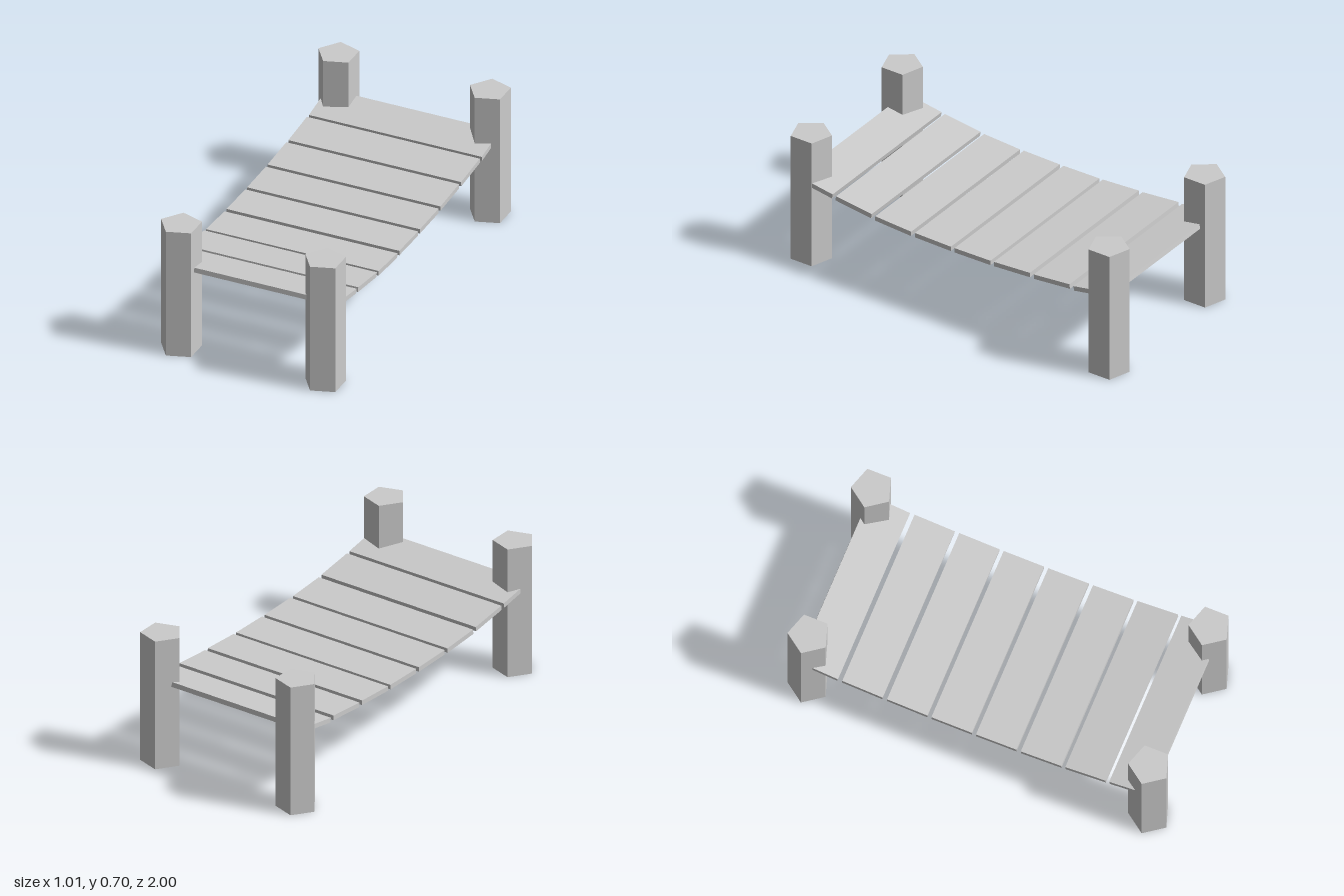
import * as THREE from 'three';

const material = new THREE.MeshStandardMaterial({ color: 0xcccccc, flatShading: true });

// Five-sided posts, each with one corner pointing to -x: [name, x, z]
const POSTS = [
  ['frontRightPost', -0.404, 0.9],
  ['frontLeftPost', 0.376, 0.9],
  ['backRightPost', -0.404, -0.9],
  ['backLeftPost', 0.416, -0.9],
];

// Sagging walkway planks, front to back: [z, y, slope]
const PLANKS = [
  [0.822, 0.460, 0.165],
  [0.590, 0.425, 0.135],
  [0.355, 0.399, 0.065],
  [0.118, 0.391, 0.02],
  [-0.118, 0.390, -0.01],
  [-0.353, 0.398, -0.055],
  [-0.590, 0.412, -0.085],
  [-0.826, 0.437, -0.17],
];

export function createModel() {
  const model = new THREE.Group();
  model.name = 'plankBridge';

  function add(parent, name, geometry, x, y, z) {
    const mesh = new THREE.Mesh(geometry, material);
    mesh.name = name;
    mesh.position.set(x, y, z);
    parent.add(mesh);
    return mesh;
  }

  // Posts
  const height = 0.705;
  const postGeometry = new THREE.CylinderGeometry(0.106, 0.106, height, 5, 1, false, -Math.PI / 2);
  for (const [name, x, z] of POSTS) add(model, name, postGeometry, x, height / 2, z);

  // Deck of separate planks, each tilted to follow the sag
  const deck = new THREE.Group();
  deck.name = 'deck';
  model.add(deck);
  const plankGeometry = new THREE.BoxGeometry(0.935, 0.025, 0.214);
  PLANKS.forEach(([z, y, slope], i) => {
    const plank = add(deck, `plank${i + 1}`, plankGeometry, -0.008, y, z);
    plank.rotation.x = -Math.atan(slope);
  });

  return model;
}
